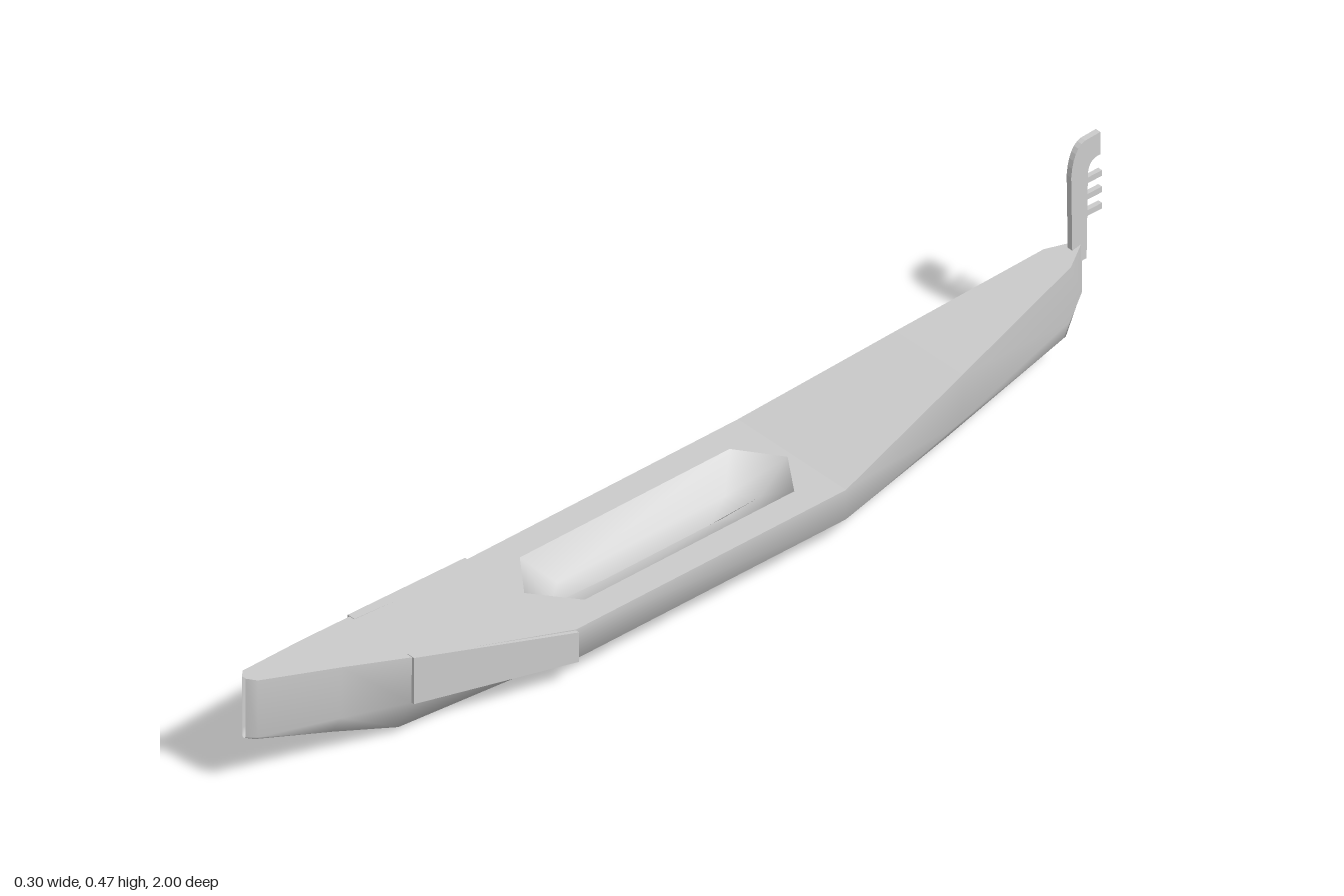
import * as THREE from 'three';

const grey = new THREE.MeshStandardMaterial({ color: 0xcccccc, side: THREE.DoubleSide });

// Skin a list of equally long cross-sections; smooth or faceted
function loft(sections, closed = false, flat = false) {
  const n = sections[0].length, index = [];
  for (let i = 0; i < sections.length - 1; i++) {
    for (let j = 0; j < (closed ? n : n - 1); j++) {
      const a = i * n + j, b = i * n + (j + 1) % n;
      index.push(a, b, b + n, a, b + n, a + n);
    }
  }
  let geo = new THREE.BufferGeometry();
  geo.setAttribute('position', new THREE.Float32BufferAttribute(sections.flat(2), 3));
  geo.setIndex(index);
  if (flat) geo = geo.toNonIndexed();
  geo.computeVertexNormals();
  return geo;
}

function part(name, geo) {
  const mesh = new THREE.Mesh(geo, grey);
  mesh.name = name;
  return mesh;
}

// Stations from bow to stern: gunwale, side, bilge and keel as [x, y, z]
const stations = [
  [[0.005, 0.25, 1], [0.005, 0.125, 1], [0.003, 0.122, 1], [0, 0.12, 1]],
  [[0.02, 0.247, 0.985], [0.02, 0.125, 0.985], [0.012, 0.117, 0.985], [0, 0.113, 0.985]],
  [[0.054, 0.215, 0.82], [0.052, 0.105, 0.82], [0.03, 0.064, 0.82], [0, 0.054, 0.82]],
  [[0.082, 0.185, 0.68], [0.08, 0.087, 0.68], [0.046, 0.016, 0.68], [0, 0.003, 0.68]],
  [[0.142, 0.12, 0.35], [0.142, 0.057, 0.35], [0.078, 0.015, 0.35], [0, 0.002, 0.35]],
  [[0.142, 0.12, -0.28], [0.142, 0.057, -0.28], [0.078, 0.015, -0.28], [0, 0.002, -0.28]],
  [[0.088, 0.186, -0.6], [0.086, 0.085, -0.6], [0.048, 0.032, -0.6], [0, 0.018, -0.6]],
  [[0.036, 0.247, -0.9], [0.034, 0.13, -0.9], [0.016, 0.083, -0.9], [0, 0.07, -0.92]],
  [[0.003, 0.257, -0.955], [0.003, 0.15, -0.955], [0.002, 0.148, -0.955], [0, 0.146, -0.955]],
];
const mirror = ([x, y, z]) => [-x, y, z];

function hull() {
  return loft(stations.map(s => [...s, ...s.slice(0, 3).reverse().map(mirror)]));
}

// Deck ends slope up to bow and stern
function deckEnd(from, to) {
  return loft(stations.slice(from, to).map(s => [mirror(s[0]), s[0]]), false, true);
}

// Cockpit outline in the deck plane, seen from above as [x, z]
const rim = [[0, 0.345], [0.085, 0.28], [0.085, -0.21], [0, -0.27], [-0.085, -0.21], [-0.085, 0.28]];

function midDeck() {
  const shape = new THREE.Shape([[0.142, -0.35], [0.142, 0.28], [-0.142, 0.28], [-0.142, -0.35]]
    .map(([x, y]) => new THREE.Vector2(x, y)));
  shape.holes.push(new THREE.Path(rim.map(([x, z]) => new THREE.Vector2(x, -z))));
  return new THREE.ShapeGeometry(shape).rotateX(-Math.PI / 2).translate(0, 0.12, 0);
}

function cockpit() {
  const ring = (sx, sz, y) => rim.map(([x, z]) => [x * sx, y, 0.035 + (z - 0.035) * sz]);
  return loft([ring(1, 1, 0.12), ring(0.5, 0.8, 0.065), ring(0, 0.5, 0.06)], true);
}

// Wedge plank standing proud of the bow side
function bowPlank(side) {
  const section = (xo, xi, top, low, z) =>
    [[xo, top, z], [xo, low, z], [xi, low, z], [xi, top, z]].map(([x, y, d]) => [x * side, y, d]);
  const a = section(0.087, 0.07, 0.186, 0.087, 0.68);
  const b = section(0.15, 0.12, 0.118, 0.055, 0.35);
  const middle = s => s.map(() => [0, 1, 2].map(k => (s[0][k] + s[2][k]) / 2));
  return loft([middle(a), a, b, middle(b)], true, true);
}

// Thin profile drawn in (-z, y), given thickness across x
function blade(shape, width) {
  return new THREE.ExtrudeGeometry(shape, { depth: width, bevelEnabled: false, curveSegments: 6 })
    .translate(0, 0, -width / 2).rotateY(Math.PI / 2);
}

function sternPost() {
  const s = new THREE.Shape();
  s.moveTo(0.93, 0.22);
  s.lineTo(0.927, 0.41);
  s.quadraticCurveTo(0.932, 0.468, 0.96, 0.474);
  s.lineTo(0.995, 0.476);
  s.lineTo(0.995, 0.428);
  s.quadraticCurveTo(0.966, 0.43, 0.966, 0.395);
  s.lineTo(0.963, 0.22);
  return blade(s, 0.012);
}

export function createModel() {
  const boat = new THREE.Group();
  boat.name = 'boat';
  boat.add(part('hull', hull()), part('foreDeck', deckEnd(0, 5)), part('midDeck', midDeck()),
    part('aftDeck', deckEnd(5, 9)), part('cockpit', cockpit()));
  boat.add(part('leftBowPlank', bowPlank(1)), part('rightBowPlank', bowPlank(-1)));

  // Ornamental stern post with comb teeth
  const ornament = new THREE.Group();
  ornament.name = 'sternOrnament';
  ornament.add(part('post', sternPost()));
  for (const y of [0.385, 0.35, 0.315]) {
    const tooth = part('tooth', new THREE.BoxGeometry(0.01, 0.012, 0.042));
    tooth.position.set(0, y, -0.979);
    ornament.add(tooth);
  }
  boat.add(ornament);
  return boat;
}
